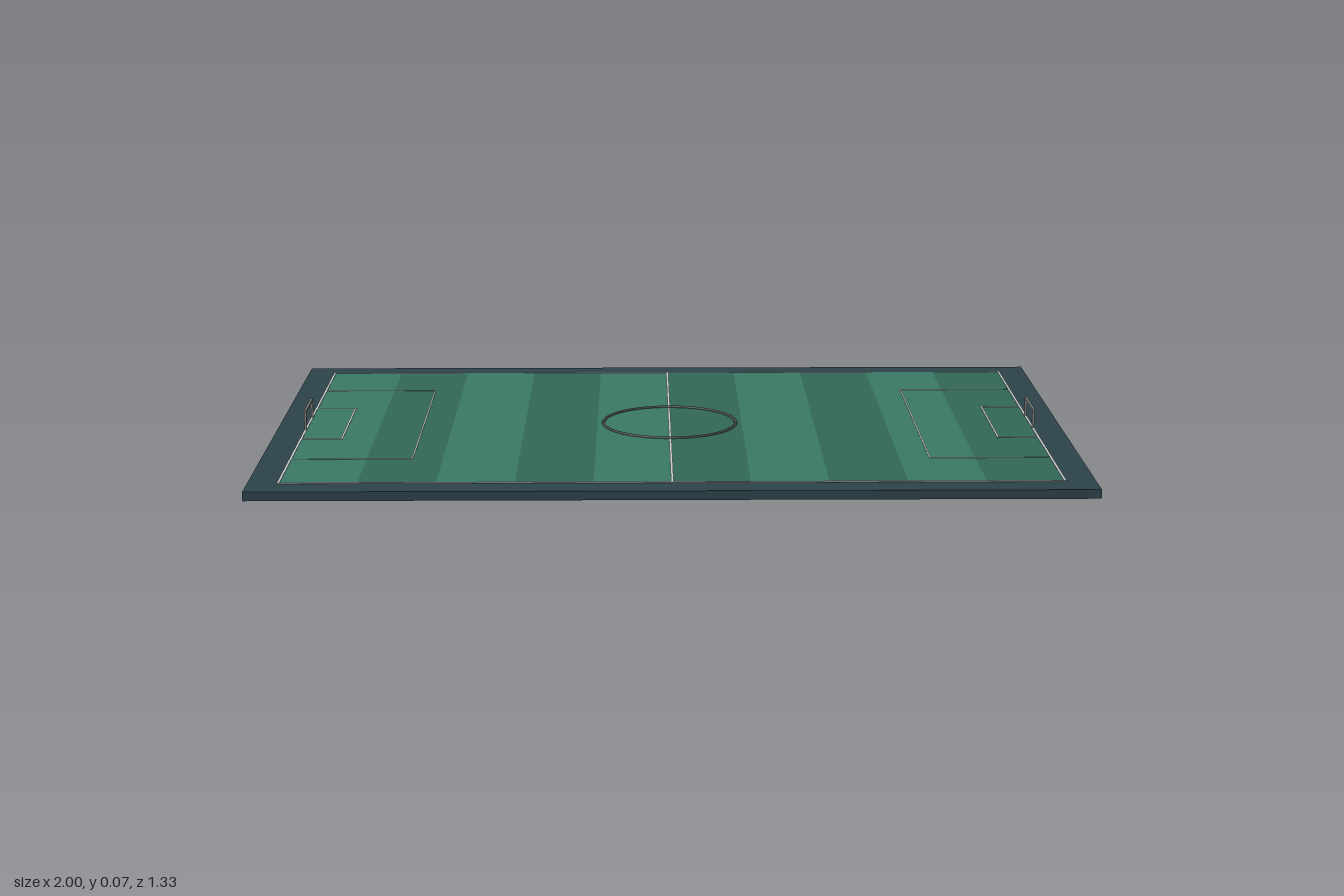
import * as THREE from 'three';

const mat = (color) => new THREE.MeshStandardMaterial({ color });

export function createModel() {
  const group = new THREE.Group();
  const baseMat = mat(0x2c424a), lightGrass = mat(0x3a7865), darkGrass = mat(0x326859);
  const lineMat = mat(0xcccccc), circleMat = mat(0x444848), goalMat = mat(0x7c807e);

  const halfX = 0.926, halfZ = 0.593, grassTop = 0.024;

  const box = (parent, name, material, [w, h, d], [x, y, z]) => {
    const mesh = new THREE.Mesh(new THREE.BoxGeometry(w, h, d), material);
    mesh.name = name;
    mesh.position.set(x, y, z);
    parent.add(mesh);
  };

  // Base slab
  box(group, 'base', baseMat, [2, 0.022, 1.332], [0, 0.011, 0]);

  // Ten mown stripes
  const stripes = 10, stripeW = (2 * halfX) / stripes;
  for (let i = 0; i < stripes; i++) {
    box(group, 'grassStripe', i % 2 ? darkGrass : lightGrass,
      [stripeW, 0.006, 2 * halfZ], [-halfX + (i + 0.5) * stripeW, grassTop - 0.003, 0]);
  }

  // Painted lines, running along x or along z
  const lineH = 0.002, lineY = grassTop;
  const lineX = (name, x0, x1, z, t) =>
    box(group, name, lineMat, [Math.abs(x1 - x0) + t, lineH, t], [(x0 + x1) / 2, lineY, z]);
  const lineZ = (name, x, half, t) =>
    box(group, name, lineMat, [t, lineH, 2 * half + t], [x, lineY, 0]);

  lineZ('halfwayLine', 0, halfZ, 0.006);
  for (const s of [-1, 1]) {
    lineX('touchLine', -halfX, halfX, s * halfZ, 0.006);
    lineZ('goalLine', s * halfX, halfZ, 0.006);

    // Penalty and goal areas
    for (const [name, x, z, t] of [['penaltyArea', 0.63, 0.371, 0.004], ['goalArea', 0.824, 0.167, 0.005]]) {
      lineZ(name, s * x, z, t);
      for (const side of [-1, 1]) lineX(name, s * x, s * halfX, side * z, t);
    }

    // Goal frame
    const goal = new THREE.Group();
    goal.name = 'goal';
    const bar = 0.006, top = 0.074, width = 0.136;
    for (const side of [-1, 1]) {
      box(goal, 'goalPost', goalMat, [bar, top - 0.022, bar], [0, (top + 0.022) / 2, side * width / 2]);
    }
    box(goal, 'crossbar', goalMat, [bar, bar, width + bar], [0, top - bar / 2, 0]);
    goal.position.x = s * halfX;
    group.add(goal);
  }

  // Centre circle
  const circle = new THREE.Mesh(new THREE.TorusGeometry(0.17, 0.004, 8, 64), circleMat);
  circle.name = 'centreCircle';
  circle.rotation.x = -Math.PI / 2;
  circle.position.y = 0.025;
  group.add(circle);

  return group;
}
